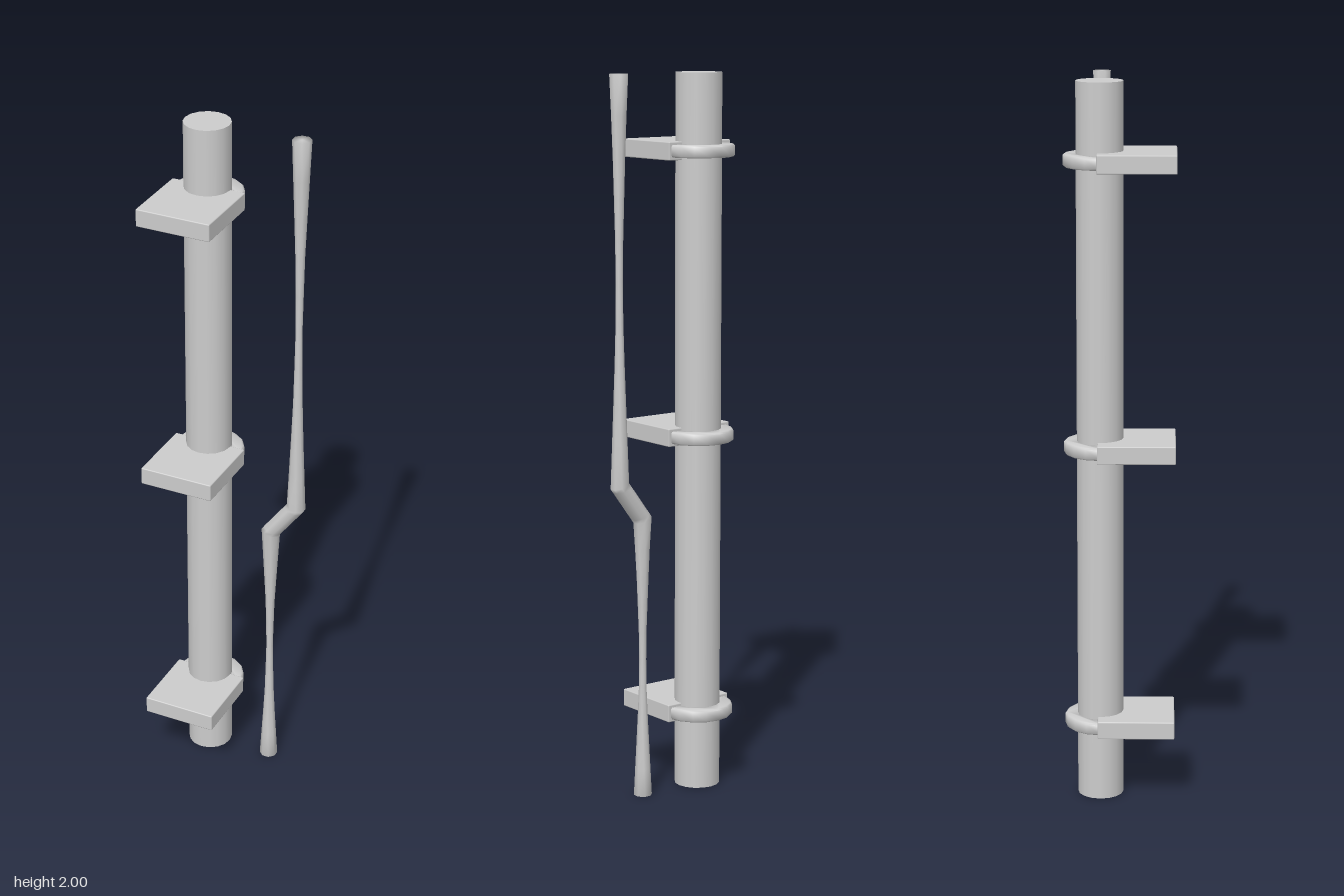
import * as THREE from 'three';
import { toCreasedNormals } from 'three/addons/utils/BufferGeometryUtils.js';
import { RoundedBoxGeometry } from 'three/addons/geometries/RoundedBoxGeometry.js';

const grey = new THREE.MeshStandardMaterial({ color: 0xcccccc });
grey.name = 'light grey metal';

const PIPE_X = -0.095, AXIS_Z = -0.055;

function add(group, name, geometry, x, y, z) {
  const mesh = new THREE.Mesh(geometry, grey);
  mesh.name = name;
  mesh.position.set(x, y, z);
  group.add(mesh);
}

// Flat half ring with softened edges, bulging to the back
function clampGeometry() {
  const height = 0.034, bevel = 0.004;
  const shape = new THREE.Shape();
  shape.absarc(0, 0, 0.099, 0, Math.PI, false);
  shape.absarc(0, 0, 0.06, Math.PI, 0, true);
  const g = new THREE.ExtrudeGeometry(shape, {
    depth: height - 2 * bevel, curveSegments: 4,
    bevelThickness: bevel, bevelSize: bevel, bevelOffset: -bevel, bevelSegments: 1,
  });
  g.translate(0, 0, bevel - height / 2);
  g.rotateX(-Math.PI / 2);
  return toCreasedNormals(g, 1);
}

// One eight-sided cable section; twist is in eighths of a turn
function cableRing(x, y, tilt, twist) {
  return Array.from({ length: 8 }, (_, i) => {
    const a = (i + twist + 0.5) * Math.PI / 4;
    const dx = 0.026 * Math.cos(a);
    return new THREE.Vector3(x + dx, y + dx * tilt, AXIS_Z + 0.026 * Math.sin(a));
  });
}

// Straight lines join the turned sections, so each long run pinches in its middle
function cableGeometry() {
  const sides = 8, steps = 10;
  const stations = [
    cableRing(0.098, 0, 0, 0), cableRing(0.098, 0.787, -0.3, 3),
    cableRing(0.175, 0.89, -0.3, 3), cableRing(0.175, 2, 0, 6),
  ];
  const points = [...stations[0]], index = [];
  for (let k = 1; k < stations.length; k++) {
    for (let s = 1; s <= steps; s++) {
      stations[k].forEach((p, i) => points.push(stations[k - 1][i].clone().lerp(p, s / steps)));
    }
  }
  const last = points.length - sides;
  const bottom = points.length, top = bottom + 1;
  points.push(new THREE.Vector3(0.098, 0, AXIS_Z), new THREE.Vector3(0.175, 2, AXIS_Z));

  for (let i = 0; i < sides; i++) {
    const j = (i + 1) % sides;
    for (let row = 0; row < last; row += sides) {
      const a = row + i, b = row + j;
      index.push(a, a + sides, b, b, a + sides, b + sides);
    }
    // End caps
    index.push(bottom, i, j, top, last + j, last + i);
  }
  const g = new THREE.BufferGeometry().setFromPoints(points);
  g.setIndex(index);
  g.computeVertexNormals();
  return g;
}

export function createModel() {
  const model = new THREE.Group();
  model.name = 'pipeAndCable';

  // Upright pipe
  add(model, 'pipe', new THREE.CylinderGeometry(0.064, 0.064, 2, 16), PIPE_X, 1, AXIS_Z);

  // Wall brackets, each with a half-ring clamp behind the pipe
  for (const y of [0.218, 1.005, 1.79]) {
    const bracket = new THREE.Group();
    bracket.name = 'bracket';
    add(bracket, 'bracketPlate', new RoundedBoxGeometry(0.213, 0.05, 0.213, 1, 0.003), PIPE_X, y, 0.045);
    add(bracket, 'clampRing', clampGeometry(), PIPE_X, y, AXIS_Z);
    model.add(bracket);
  }

  // Bent cable with closed ends
  add(model, 'cable', cableGeometry(), 0, 0, 0);
  return model;
}
